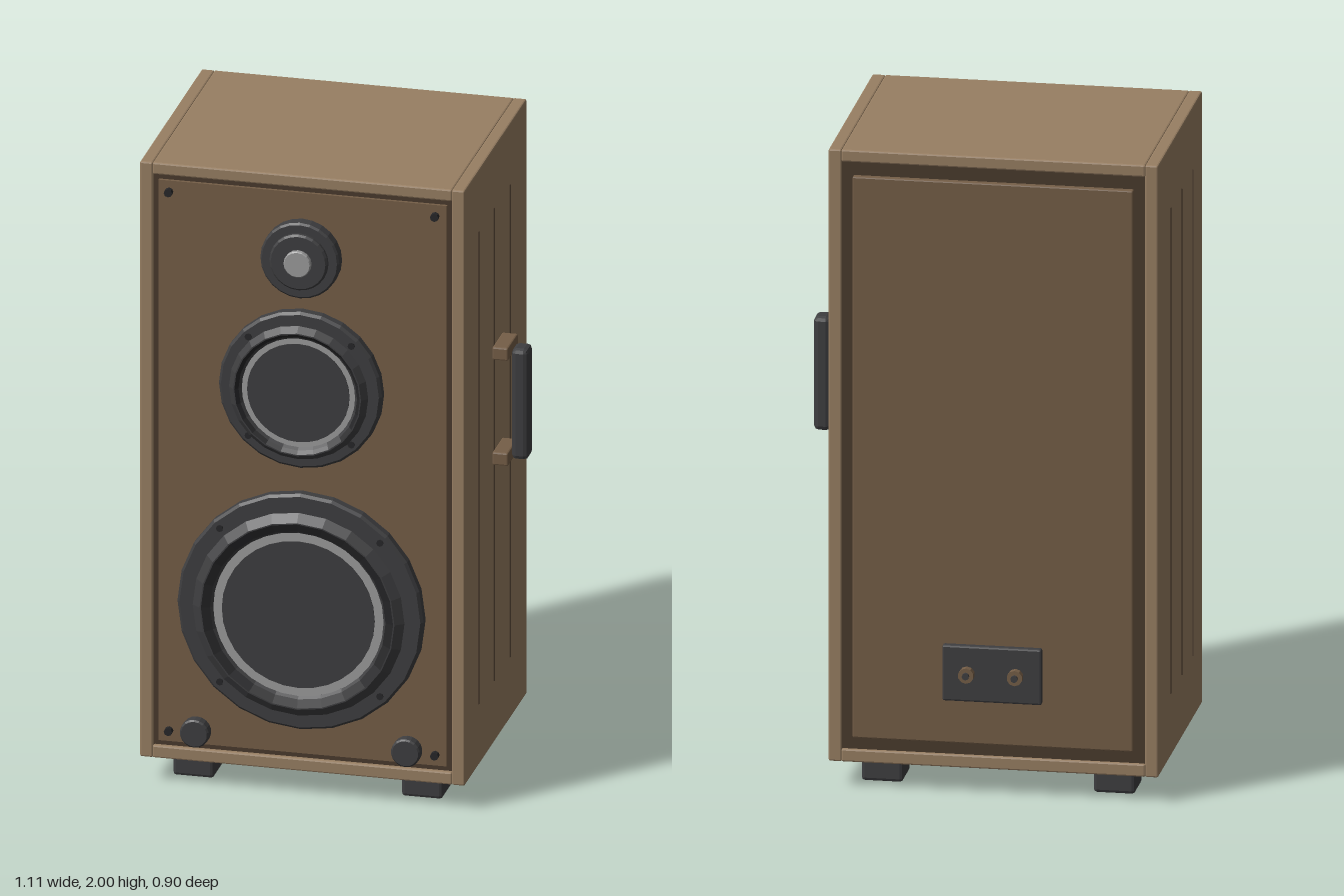
import * as THREE from 'three';
import { RoundedBoxGeometry } from 'three/addons/geometries/RoundedBoxGeometry.js';

const mat = (name, color) => new THREE.MeshStandardMaterial({ name, color, flatShading: true });

export function createModel() {
  const wood = mat('light wood', 0x987f63);
  const panelWood = mat('panel wood', 0x755e47);
  const groove = mat('groove brown', 0x493a2c);
  const dark = mat('charcoal', 0x3e3e40);
  const rubber = mat('black rubber', 0x262628);
  const metal = mat('silver metal', 0x9c9c9c);

  const model = new THREE.Group();
  model.name = 'loudspeaker';
  const CX = -0.053; // centre line of the cabinet

  // Box given by its limits, with optional chamfer
  function box(name, m, [x0, x1], [y0, y1], [z0, z1], bevel = 0, parent = model) {
    const s = [x1 - x0, y1 - y0, z1 - z0];
    const g = bevel ? new RoundedBoxGeometry(...s, 1, bevel) : new THREE.BoxGeometry(...s);
    const mesh = new THREE.Mesh(g, m);
    mesh.name = name;
    mesh.position.set((x0 + x1) / 2, (y0 + y1) / 2, (z0 + z1) / 2);
    parent.add(mesh);
    return mesh;
  }

  // Turned part about the z axis; profile is [radius, z] pairs
  function turned(name, m, x, y, profile, sides = 24, parent = model) {
    const g = new THREE.LatheGeometry(profile.map(p => new THREE.Vector2(...p)), sides);
    const mesh = new THREE.Mesh(g, m);
    mesh.name = name;
    mesh.rotation.x = Math.PI / 2;
    mesh.position.set(x, y, 0);
    parent.add(mesh);
    return mesh;
  }
  const disc = (r, z0, z1, c = 0) => [[0, z0], [r, z0], [r, z1 - c], [r - c, z1], [0, z1]];

  // Cabinet shell
  const Z = [-0.39, 0.382];
  box('leftSide', wood, [0.408, 0.448], [0.08, 2], Z, 0.005);
  box('rightSide', wood, [-0.555, -0.515], [0.08, 2], Z, 0.005);
  box('topPanel', wood, [-0.516, 0.409], [1.962, 2], Z, 0.005);
  box('bottomPanel', wood, [-0.516, 0.409], [0.08, 0.12], Z, 0.005);
  box('core', groove, [-0.516, 0.409], [0.11, 1.97], [-0.38, 0.368]);
  box('baffle', panelWood, [-0.498, 0.392], [0.137, 1.945], [0.36, 0.378]);
  box('backPanel', panelWood, [-0.48, 0.373], [0.16, 1.92], [-0.4, -0.37], 0.004);

  // Thin grooves on both sides
  for (const z of [-0.178, 0.018, 0.213])
    for (const x of [-0.555, 0.448])
      box('sideGroove', groove, [x - 0.003, x + 0.003], [0.28, 1.805], [z - 0.003, z + 0.003]);

  // Feet
  for (const x of [-0.408, 0.298])
    for (const z of [-0.252, 0.248])
      box('foot', dark, [x - 0.063, x + 0.063], [0, 0.085], [z - 0.063, z + 0.063], 0.01);

  // Cone drivers: flange, flared basket, surround ring, cone and screws
  function driver(name, y, flange, rim, basket, cone, screwR) {
    const g = new THREE.Group();
    g.name = name;
    model.add(g);
    const edge = rim * 0.92;
    turned('flange', dark, CX, y, disc(flange, 0.375, 0.412, 0.008), 24, g);
    turned('basket', metal, CX, y, [[0, 0.4], [basket * 0.64, 0.4], [basket, 0.43], [0, 0.43]], 32, g);
    turned('rim', dark, CX, y, [[basket, 0.426], [rim, 0.428], [edge, 0.448], [edge - 0.004, 0.448]], 24, g);
    turned('surround', rubber, CX, y, [[edge - 0.004, 0.448], [basket + 0.008, 0.438]], 24, g);
    turned('surroundLip', dark, CX, y, [[basket + 0.008, 0.438], [basket, 0.428]], 24, g);
    turned('cone', dark, CX, y, disc(cone, 0.42, 0.433), 32, g);
    for (let i = 0; i < 4; i++) {
      const a = Math.PI / 4 + i * Math.PI / 2;
      turned('flangeScrew', rubber, CX + screwR * Math.cos(a), y + screwR * Math.sin(a),
        disc(0.011, 0.4, 0.416), 8, g);
    }
  }
  driver('woofer', 0.605, 0.38, 0.327, 0.263, 0.236, 0.35);
  driver('midrange', 1.32, 0.252, 0.215, 0.175, 0.158, 0.225);

  // Tweeter
  turned('tweeterFlange', dark, CX, 1.74, disc(0.122, 0.375, 0.418, 0.006));
  turned('tweeterRing', dark, CX, 1.74, disc(0.09, 0.41, 0.434, 0.006));
  turned('tweeterDome', metal, CX, 1.74, disc(0.042, 0.43, 0.45, 0.003), 16);

  // Control knobs and baffle screws
  for (const x of [-0.38, 0.272])
    turned('knob', dark, x, 0.18, disc(0.045, 0.375, 0.413, 0.005), 18);
  for (const x of [-0.465, 0.357])
    for (const y of [0.172, 1.91])
      turned('baffleScrew', rubber, x, y, disc(0.013, 0.37, 0.395), 8);

  // Side handle
  const handle = new THREE.Group();
  handle.name = 'handle';
  model.add(handle);
  for (const y of [1.013, 1.352])
    box('handleMount', panelWood, [0.453, 0.502], [y - 0.021, y + 0.021], [-0.067, 0.06], 0.005, handle);
  box('handleGrip', dark, [0.504, 0.555], [1.003, 1.36], [-0.038, 0.031], 0.014, handle);

  // Rear terminals
  box('terminalPlate', dark, [-0.205, 0.097], [0.297, 0.472], [-0.42, -0.395], 0.006);
  for (const x of [-0.127, 0.021]) {
    turned('terminalNut', panelWood, x, 0.385, disc(0.024, -0.443, -0.415), 10);
    turned('terminalPost', dark, x, 0.385, disc(0.011, -0.452, -0.44), 8);
  }

  return model;
}
